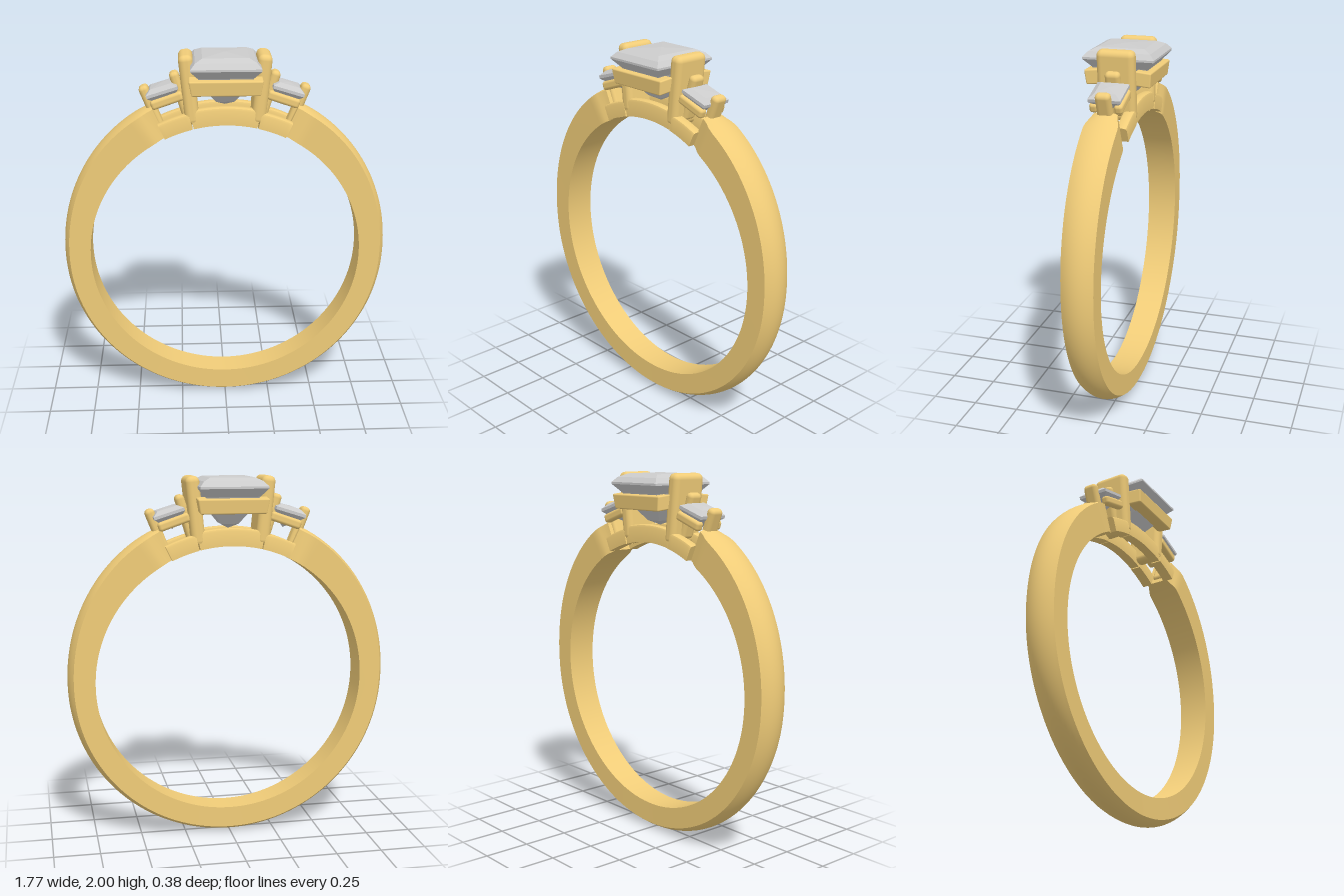
import * as THREE from 'three';
import { toCreasedNormals } from 'three/addons/utils/BufferGeometryUtils.js';
import { RoundedBoxGeometry } from 'three/addons/geometries/RoundedBoxGeometry.js';

const gold = new THREE.MeshStandardMaterial({ color: 0xf0cc78 });
const grey = new THREE.MeshStandardMaterial({ color: 0xcccccc, flatShading: true });
const CY = 0.89, INNER = 0.74; // ring centre height and finger radius
const deg = THREE.MathUtils.degToRad;
const { smoothstep, lerp } = THREE.MathUtils;

function add(parent, name, geometry, material, x = 0, y = 0, z = 0, tilt = 0) {
  const mesh = new THREE.Mesh(geometry, material);
  mesh.name = name;
  mesh.position.set(x, y, z);
  mesh.rotation.z = tilt;
  parent.add(mesh);
  return mesh;
}

// Sweeps a closed [radius, z] section round the ring; angles start at the top
function sweep(a0, a1, steps, section) {
  const pos = [], idx = [];
  let n = 0;
  for (let j = 0; j <= steps; j++) {
    const a = lerp(a0, a1, j / steps);
    const ring = section(a);
    n = ring.length;
    for (const [r, z] of ring) pos.push(r * Math.sin(a), CY + r * Math.cos(a), z);
  }
  for (let j = 0; j < steps; j++) for (let i = 0; i < n; i++) {
    const k = (i + 1) % n, p = j * n, q = p + n;
    idx.push(p + i, p + k, q + k, p + i, q + k, q + i);
  }
  const e = steps * n;
  for (let i = 1; i < n - 1; i++) idx.push(0, i + 1, i, e, e + i, e + i + 1);
  const g = new THREE.BufferGeometry();
  g.setAttribute('position', new THREE.Float32BufferAttribute(pos, 3));
  g.setIndex(idx);
  return toCreasedNormals(g, 0.5);
}

// Domed band section: widens and thickens upward, pinched at both ends
function shankSection(a) {
  const t = Math.abs(a - Math.PI) / deg(155);
  const w = (0.075 + 0.015 * t) * (1 - 0.3 * smoothstep(t, 0.96, 1));
  const edge = 0.855 + 0.05 * smoothstep(t, 0.55, 1);
  const crown = 0.885 + 0.037 * smoothstep(t, 0.55, 1);
  const pts = [[INNER, -w]];
  for (let i = 0; i <= 12; i++) {
    const u = i / 6 - 1;
    pts.push([lerp(crown, edge, u * u), u * w]);
  }
  pts.push([INNER, w]);
  return pts;
}

// Rail section with softened outer corners
function railSection(zMid, half, outer) {
  const c = 0.015;
  return () => [[INNER, zMid - half], [outer - c, zMid - half], [outer - c * 0.3, zMid - half + c * 0.3],
    [outer, zMid - half + c], [outer, zMid + half - c], [outer - c * 0.3, zMid + half - c * 0.3],
    [outer - c, zMid + half], [INNER, zMid + half]];
}

// Square-cut stone from [half width, height] levels, bottom to top
function stone(levels, sx = 1, sz = 1) {
  const pts = levels.map(([h, y]) => new THREE.Vector2(h * Math.SQRT2, y));
  return new THREE.LatheGeometry(pts, 4, Math.PI / 4).scale(sx, 1, sz);
}

export function createModel() {
  const ring = new THREE.Group();
  ring.name = 'ring';

  add(ring, 'shank', sweep(deg(25), deg(335), 144, shankSection), gold);

  // Centre stone
  add(ring, 'centreStone', stone([[0, 1.72], [0.05, 1.745], [0.1, 1.81], [0.15, 1.893],
    [0.19, 1.937], [0.19, 1.948], [0.165, 1.975], [0.125, 1.993], [0, 2]], 0.96, 1), grey);

  // Front and back: basket bars, bridge and shoulder rails
  for (const f of [1, -1]) {
    const bar = new RoundedBoxGeometry(0.37, 0.08, 0.085, 2, 0.008);
    const p = bar.attributes.position;
    for (let i = 0; i < p.count; i++) p.setX(i, p.getX(i) * (1 + p.getY(i)));
    add(ring, 'basketBar', bar, gold, 0, 1.848, f * 0.133).rotation.x = f * 0.1;

    add(ring, 'bridgeRail', sweep(deg(-13), deg(13), 16, railSection(f * 0.07, 0.027, 0.835)), gold);
    for (const s of [1, -1]) {
      add(ring, 'shoulderRail', sweep(deg(s * 19.5 - 6), deg(s * 19.5 + 6), 8,
        railSection(f * 0.07, 0.03, 0.825)), gold);
    }
  }

  // Left and right: prongs and accent stones
  for (const s of [1, -1]) {
    const side = new THREE.Group();
    side.name = s > 0 ? 'leftShoulder' : 'rightShoulder';
    ring.add(side);

    add(side, 'centreProng', new RoundedBoxGeometry(0.075, 0.37, 0.2, 4, 0.03),
      gold, s * 0.19, 1.815, 0, -s * 0.1);
    add(side, 'accentStone', stone([[0, -0.09], [0.05, -0.045], [0.085, -0.008],
      [0.085, 0.008], [0.055, 0.028], [0, 0.032]]), grey, s * 0.33, 1.805, 0, -s * 0.3);
    add(side, 'innerProng', new RoundedBoxGeometry(0.05, 0.25, 0.08, 3, 0.022),
      gold, s * 0.235, 1.78, 0, -s * 0.3);
    add(side, 'outerProng', new RoundedBoxGeometry(0.052, 0.26, 0.08, 3, 0.022),
      gold, s * 0.385, 1.705, 0, -s * 0.38);
    for (const f of [1, -1]) {
      add(side, 'accentBar', new RoundedBoxGeometry(0.175, 0.05, 0.045, 3, 0.016),
        gold, s * 0.305, 1.76, f * 0.065, -s * 0.33);
    }
  }
  return ring;
}
